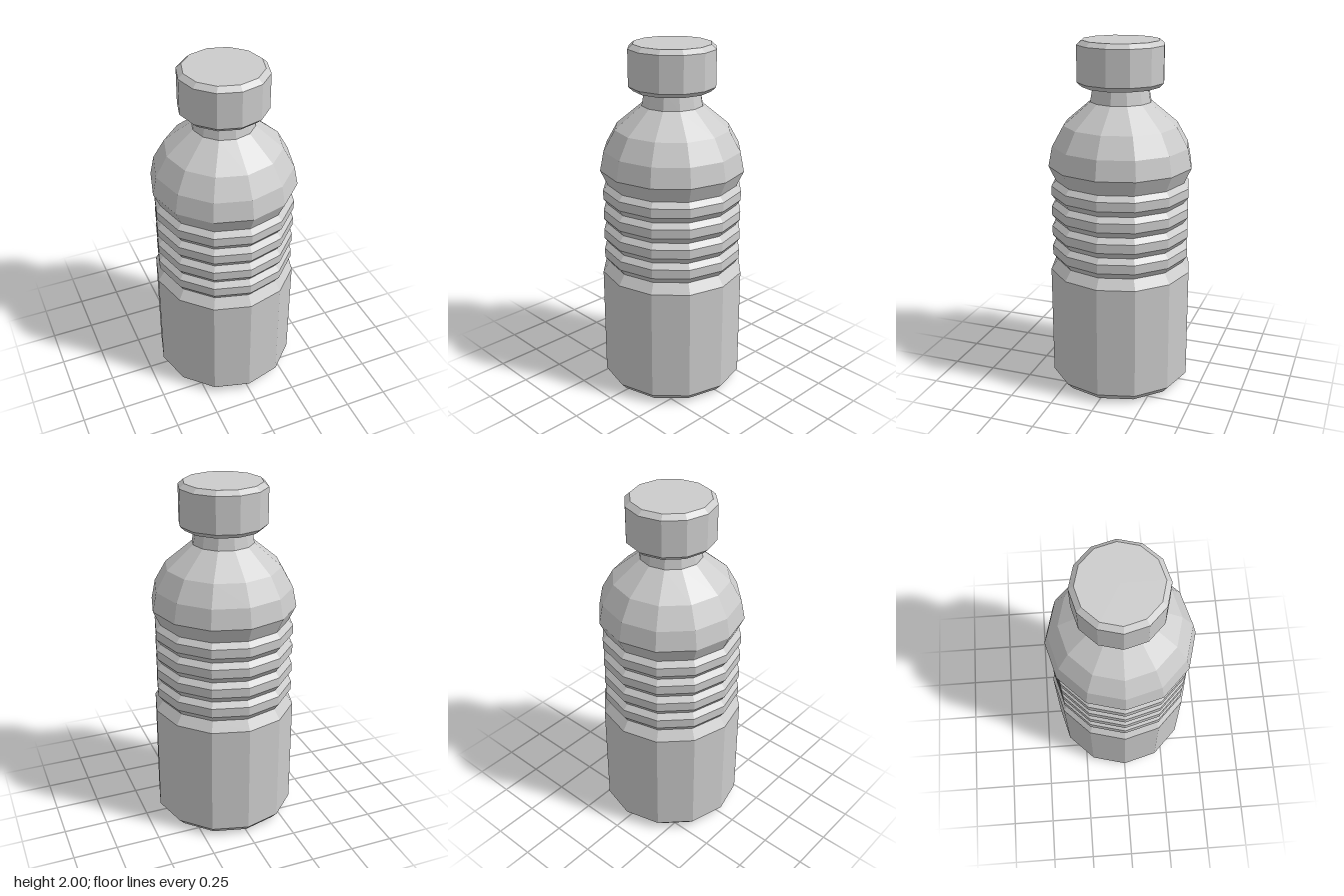
import * as THREE from 'three';

const SIDES = 12;

export function createModel() {
  const model = new THREE.Group();
  model.name = 'bottle';
  const material = new THREE.MeshStandardMaterial({ color: 0xcccccc, flatShading: true, side: THREE.DoubleSide });

  // Turns a [radius, height] profile, listed from bottom to top, into a faceted part
  const turn = (name, profile) => {
    const points = profile.map(([r, y]) => new THREE.Vector2(r, y));
    const mesh = new THREE.Mesh(new THREE.LatheGeometry(points, SIDES), material);
    mesh.name = name;
    model.add(mesh);
  };

  // Lower body with a conical dimple under the base
  turn('lowerBody', [
    [0, 0.08], [0.16, 0], [0.375, 0.01], [0.41, 0.05],
    [0.41, 0.7], [0.37, 0.757],
  ]);

  // Four grip ribs separated by narrow grooves
  const ribs = [[0.37, 0.757]];
  const pitch = 0.118;
  for (let i = 0; i < 4; i++) {
    const y = 0.757 + i * pitch;
    ribs.push([0.397, y + 0.036], [0.397, y + 0.088], [0.37, y + pitch]);
  }
  turn('gripRibs', ribs);

  // Domed shoulder running into the neck
  turn('shoulderAndNeck', [
    [0.37, 1.229], [0.41, 1.315], [0.388, 1.425], [0.323, 1.54],
    [0.172, 1.667], [0.155, 1.76],
  ]);

  // Screw cap with bevelled rims
  turn('cap', [
    [0.15, 1.75], [0.218, 1.75], [0.244, 1.775],
    [0.244, 1.975], [0.216, 2], [0, 2],
  ]);

  return model;
}
